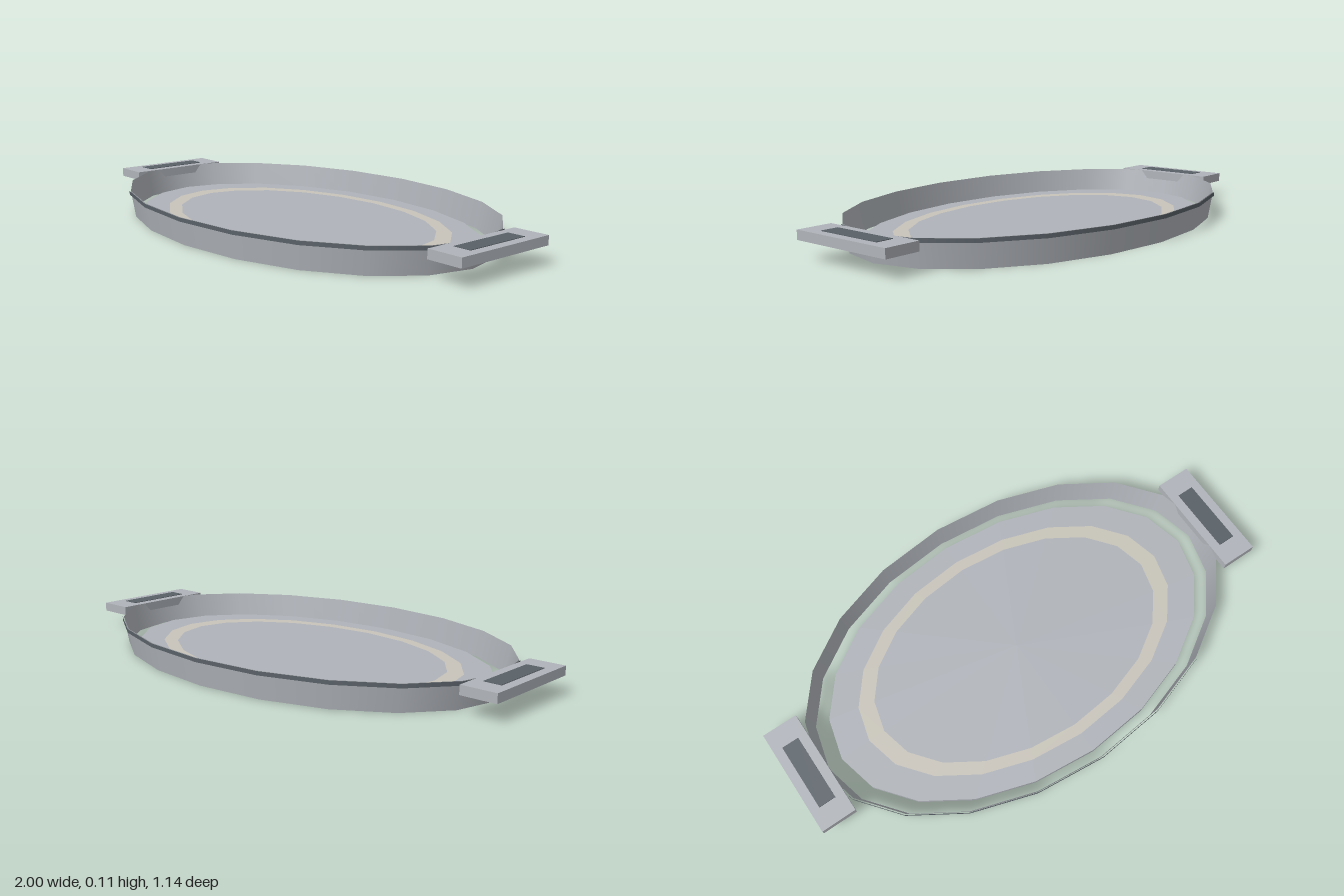
import * as THREE from 'three';

const SIDES = 20;

export function createModel() {
  const tray = new THREE.Group();
  tray.name = 'ovalTray';

  const material = (name, color, side = THREE.FrontSide) => {
    const m = new THREE.MeshStandardMaterial({ color, side });
    m.name = name;
    return m;
  };
  const metal = material('brushed metal', 0xb0b4ba, THREE.DoubleSide);
  const dark = material('dark trim', 0x596168);
  const cream = material('pale inlay', 0xc8c4ba);

  const add = (parent, name, geometry, mat, x = 0, y = 0, z = 0) => {
    const mesh = new THREE.Mesh(geometry, mat);
    mesh.name = name;
    mesh.position.set(x, y, z);
    parent.add(mesh);
    return mesh;
  };

  // Oval drum: a unit-ratio cylinder squashed along z
  const oval = (rTop, rBottom, height, ratio, open) =>
    new THREE.CylinderGeometry(rTop, rBottom, height, SIDES, 1, open).scale(1, 1, ratio);

  // Floor plate, separated from the wall by a narrow gap
  add(tray, 'floor', oval(0.805, 0.805, 0.02, 0.638, false), metal, 0, 0.01);

  // Inlaid oval band on the floor
  const band = new THREE.RingGeometry(0.615, 0.682, SIDES).rotateX(-Math.PI / 2).scale(1, 1, 0.638);
  add(tray, 'inlayBand', band, cream, 0, 0.022);

  // Flared open wall with a dark band around its top edge
  add(tray, 'wall', oval(0.888, 0.865, 0.105, 0.635, true), metal, 0, 0.0525);
  add(tray, 'rimBand', oval(0.893, 0.893, 0.015, 0.637, true), dark, 0, 0.0975);

  // Mirrored handles with a dark grip inset on top
  for (const [side, label] of [[1, 'left'], [-1, 'right']]) {
    const handle = new THREE.Group();
    handle.name = `${label}Handle`;
    handle.position.x = side * 0.93;
    add(handle, 'handlePlate', new THREE.BoxGeometry(0.14, 0.035, 0.432), metal, 0, 0.0875);
    add(handle, 'gripInset', new THREE.BoxGeometry(0.068, 0.004, 0.27), dark, 0, 0.105);
    tray.add(handle);
  }

  return tray;
}
